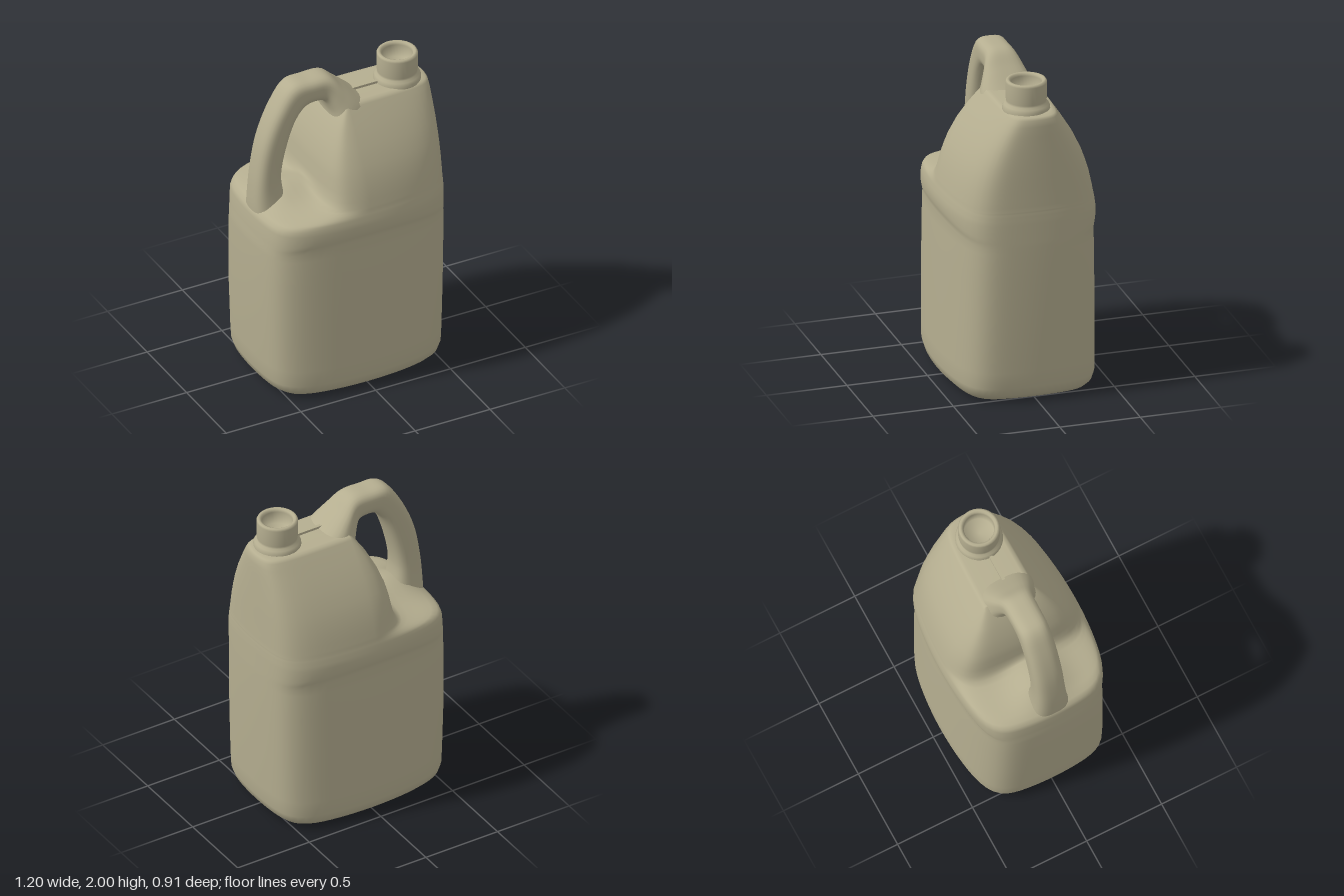
import * as THREE from 'three';

const plastic = new THREE.MeshStandardMaterial({ color: 0xb5ae90 });
plastic.name = 'beige plastic';

// Unit rounded square of exponent n, sampled evenly by angle
function outline(n, count) {
  return Array.from({ length: count }, (_, i) => {
    const a = (i / count) * Math.PI * 2, c = Math.cos(a), s = Math.sin(a);
    const r = 1 / Math.pow(Math.abs(c) ** n + Math.abs(s) ** n, 1 / n);
    return [c * r, s * r];
  });
}

// Smooth skin through closed rings of equal size, capped at both ends
function loft(rings) {
  const m = rings[0].length, pos = [], index = [];
  rings.forEach(r => r.forEach(p => pos.push(p.x, p.y, p.z)));
  const last = (rings.length - 1) * m;
  for (let j = 0; j < rings.length - 1; j++)
    for (let i = 0; i < m; i++) {
      const a = j * m + i, b = j * m + (i + 1) % m;
      index.push(a, a + m, b, b, a + m, b + m);
    }
  [rings[0], rings[rings.length - 1]].forEach((ring, end) => {
    const c = new THREE.Vector3();
    ring.forEach(p => c.addScaledVector(p, 1 / m));
    const k = pos.length / 3;
    pos.push(c.x, c.y, c.z);
    for (let i = 0; i < m; i++) {
      const n = (i + 1) % m;
      if (end) index.push(k, last + n, last + i);
      else index.push(k, i, n);
    }
  });
  const g = new THREE.BufferGeometry();
  g.setAttribute('position', new THREE.Float32BufferAttribute(pos, 3));
  g.setIndex(index);
  g.computeVertexNormals();
  return g;
}

// Body point: bowed sides, arched shoulder ridge, saddle raised on the shelf
function bodyPoint([u, v], [level, left, right, hz]) {
  const x = u * (1 - 0.07 * v * v) * (u < 0 ? left : right);
  const z = v * (1 - 0.16 * u * u * hz / 0.455) * hz;
  let y = level;
  if (level > 1.02 && level < 1.14) y -= 0.045 * u * u;
  if (level > 1.17 && level < 1.31 && u < 0) {
    const rise = THREE.MathUtils.smoothstep(-x, 0.12, 0.2) * (1 - THREE.MathUtils.smoothstep(-x, 0.4, 0.57));
    y += (1.31 - level) * rise * Math.exp(-(((z - 0.01) / 0.16) ** 2));
  }
  return new THREE.Vector3(x, y, z);
}

function add(group, name, geometry) {
  const mesh = new THREE.Mesh(geometry, plastic);
  mesh.name = name;
  group.add(mesh);
  return mesh;
}

export function createModel() {
  const jug = new THREE.Group();
  jug.name = 'jug';

  // Body levels: height, reach to -x, reach to +x, half depth
  const levels = [
    [0.005, 0.30, 0.30, 0.22], [0.006, 0.47, 0.47, 0.36], [0.02, 0.53, 0.53, 0.41],
    [0.05, 0.565, 0.56, 0.44], [0.1, 0.582, 0.577, 0.455], [0.2, 0.588, 0.583, 0.455],
    [0.5, 0.6, 0.593, 0.451], [0.8, 0.604, 0.599, 0.447], [0.97, 0.602, 0.6, 0.443],
    [1.05, 0.6, 0.6, 0.441], [1.08, 0.597, 0.6, 0.449], [1.11, 0.594, 0.599, 0.456],
    [1.15, 0.588, 0.598, 0.457], [1.18, 0.578, 0.597, 0.452], [1.2, 0.555, 0.596, 0.448],
    [1.21, 0.51, 0.596, 0.446], [1.218, 0.45, 0.595, 0.444], [1.226, 0.39, 0.595, 0.442],
    [1.235, 0.33, 0.595, 0.44], [1.245, 0.28, 0.594, 0.438], [1.26, 0.245, 0.594, 0.435],
    [1.3, 0.222, 0.593, 0.425], [1.36, 0.21, 0.592, 0.41], [1.43, 0.2, 0.591, 0.386],
    [1.5, 0.185, 0.59, 0.357], [1.6, 0.15, 0.588, 0.305], [1.7, 0.1, 0.585, 0.24],
    [1.76, 0.06, 0.583, 0.198], [1.8, 0.03, 0.578, 0.17], [1.815, 0.01, 0.565, 0.158],
    [1.82, 0.005, 0.53, 0.135],
  ];
  const section = outline(7.5, 96);
  add(jug, 'body', loft(levels.map(level => section.map(p => bodyPoint(p, level)))));

  // Handle stations: outer edge, inner edge, half width
  const stations = [
    [-0.578, 1.12, -0.35, 1.12, 0.13], [-0.578, 1.24, -0.385, 1.27, 0.108],
    [-0.563, 1.43, -0.4, 1.4, 0.095], [-0.52, 1.65, -0.362, 1.6, 0.094],
    [-0.43, 1.86, -0.3, 1.765, 0.094], [-0.33, 1.99, -0.24, 1.83, 0.094],
    [-0.21, 2.0, -0.18, 1.845, 0.094], [-0.09, 1.995, -0.12, 1.83, 0.1],
    [0.0, 1.92, -0.085, 1.76, 0.135], [0.1, 1.83, -0.07, 1.65, 0.175],
    [0.2, 1.75, 0.05, 1.52, 0.18],
  ];
  const curve = (a, b, c) => new THREE.CatmullRomCurve3(
    stations.map(s => new THREE.Vector3(s[a], s[b], c === undefined ? 0 : s[c])), false, 'centripetal');
  const outer = curve(0, 1, 4), inner = curve(2, 3);
  const grip = outline(3.2, 32), handleRings = [];
  for (let k = 0; k <= 50; k++) {
    const o = outer.getPoint(k / 50), i = inner.getPoint(k / 50);
    handleRings.push(grip.map(([u, v]) => new THREE.Vector3(
      (o.x + i.x) / 2 + (o.x - i.x) / 2 * u,
      (o.y + i.y) / 2 + (o.y - i.y) / 2 * u,
      0.012 - v * o.z)));
  }
  add(jug, 'handle', loft(handleRings));

  // Hollow neck with a collar at its foot
  const profile = [
    [0.143, 1.812], [0.142, 1.832], [0.134, 1.848], [0.122, 1.86], [0.119, 1.872], [0.124, 1.89],
    [0.124, 1.985], [0.118, 1.997], [0.108, 2.0], [0.096, 1.995], [0.091, 1.98], [0.091, 1.9], [0, 1.899],
  ].map(([r, y]) => new THREE.Vector2(r, y));
  const neck = add(jug, 'neck', new THREE.LatheGeometry(profile, 32));
  neck.position.set(0.4, 0, 0.015);

  // Moulding seam along the top
  const seam = add(jug, 'topSeam', new THREE.BoxGeometry(0.2, 0.03, 0.02));
  seam.position.set(0.18, 1.82, 0.02);

  return jug;
}
